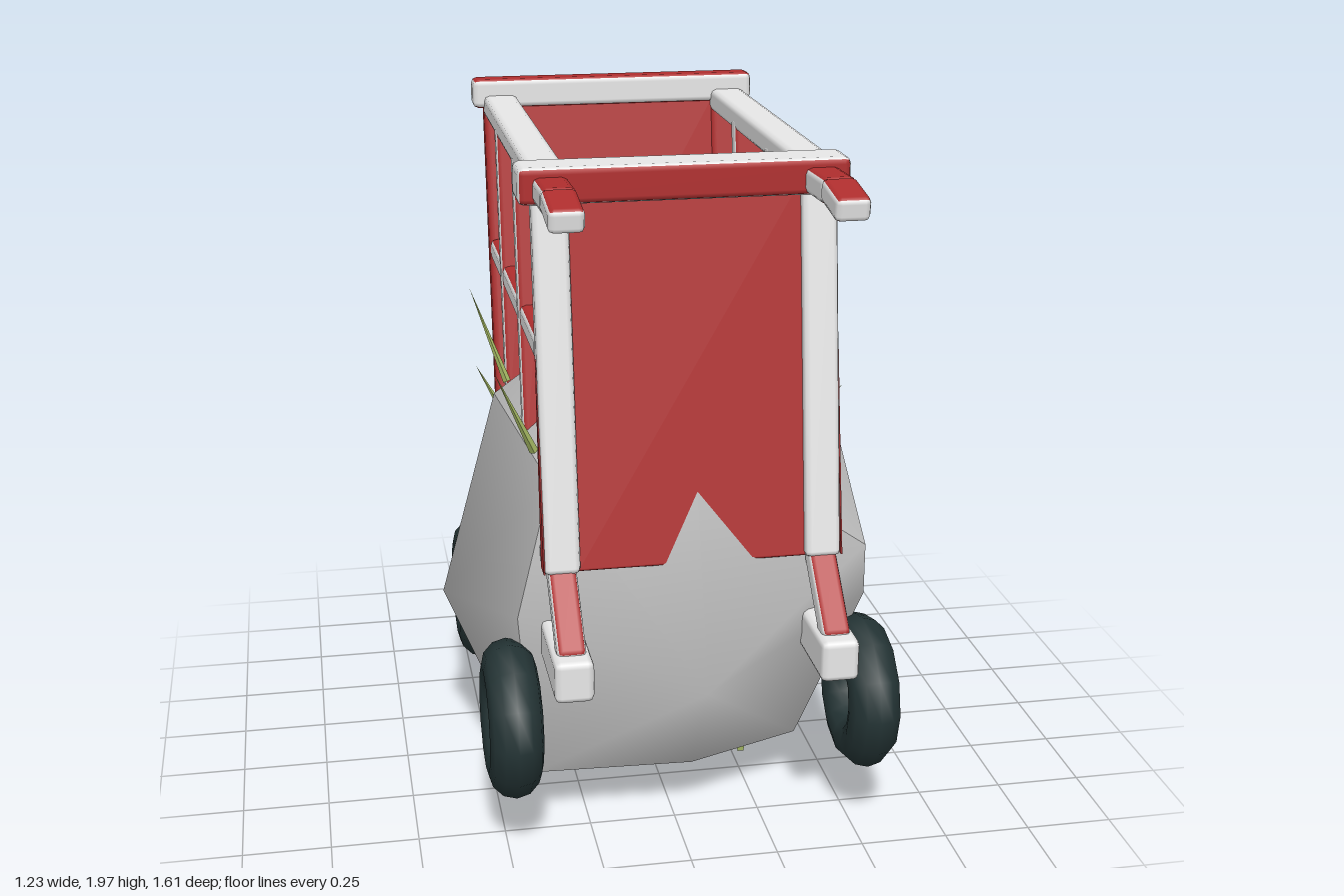
import * as THREE from 'three';
import { RoundedBoxGeometry } from 'three/addons/geometries/RoundedBoxGeometry.js';

function material(name, color) {
  const m = new THREE.MeshStandardMaterial({ color });
  m.name = name;
  return m;
}

// Boulder: a cube of 3 x 3 points per side with some points moved.
// Each side is a smooth fan of its own, so the cube edges stay sharp.
const movedPoints = {
  '0,1,0': [0.05, 1.56, 0], '0,0,1': [0.05, 0.53, 0.72], '-1,0,0': [-0.62, 0.58, 0],
  '1,1,1': [0.55, 0.85, 0.5], '1,1,-1': [0.55, 0.85, -0.5],
  '-1,1,1': [-0.34, 1.06, 0.4], '-1,1,-1': [-0.45, 0.85, -0.5],
  '1,-1,1': [0.39, 0.2, 0.37], '1,-1,-1': [0.51, 0.2, -0.34],
  '-1,-1,1': [-0.41, 0.2, 0.48], '-1,-1,-1': [-0.31, 0.2, -0.31],
};

function boulderSide(axis, sign) {
  let u = (axis + 1) % 3, v = (axis + 2) % 3;
  if (sign < 0) [u, v] = [v, u];
  const ring = [[0, 0], [1, 0], [1, 1], [0, 1], [-1, 1], [-1, 0], [-1, -1], [0, -1], [1, -1]];
  const points = ring.map(([a, b]) => {
    const p = [0, 0, 0];
    p[axis] = sign;
    p[u] = a;
    p[v] = b;
    return new THREE.Vector3(...(movedPoints[p.join()] ?? [0.05 + p[0] / 2, 0.7 + p[1] / 2, p[2] / 2]));
  });
  const index = [];
  for (let i = 0; i < 8; i++) index.push(0, 1 + i, 1 + (i + 1) % 8);
  const geometry = new THREE.BufferGeometry().setFromPoints(points);
  geometry.setIndex(index);
  geometry.computeVertexNormals();
  return geometry;
}

export function createModel() {
  const model = new THREE.Group();
  model.name = 'rockCart';
  const white = material('whitePaint', 0xe8e8e8);
  const red = material('redPaint', 0xb02e2e);
  const stone = material('greyStone', 0xb8b8b8);
  const rubber = material('darkRubber', 0x243435);
  const green = material('grassGreen', 0xa6ba64);

  // Face order: +x, -x, +y, -y, +z, -z
  const trim = [white, white, white, white, red, red];
  const topTrim = [white, white, red, red, white, white];
  const postTrim = [white, white, white, white, white, red];
  const wallTrim = [red, red, white, white, red, red];

  function add(name, geometry, mat, x, y, z, parent = model) {
    const mesh = new THREE.Mesh(geometry, mat);
    mesh.name = name;
    mesh.position.set(x, y, z);
    parent.add(mesh);
    return mesh;
  }

  // Bevelled bar whose long axis runs between two [z, y] points at a given x
  function beam(name, x, width, depth, [z0, y0], [z1, y1], mat, parent = model) {
    const length = Math.hypot(y1 - y0, z1 - z0);
    const radius = Math.min(0.018, depth * 0.25);
    const bar = add(name, new RoundedBoxGeometry(width, length, depth, 1, radius), mat,
      x, (y0 + y1) / 2, (z0 + z1) / 2, parent);
    bar.rotation.x = Math.atan2(z1 - z0, y1 - y0);
  }

  // Boulder
  for (let axis = 0; axis < 3; axis++)
    for (const sign of [-1, 1]) add('boulderSide', boulderSide(axis, sign), stone, 0, 0, 0);

  // Wheels
  const tire = new THREE.TorusGeometry(0.15, 0.075, 12, 12);
  tire.rotateY(Math.PI / 2);
  for (const x of [-0.48, 0.535])
    for (const z of [0.55, -0.365]) add('wheel', tire, rubber, x, 0.42, z);

  // Tapered red inlay for the outer side of the front posts
  const inlay = new THREE.ExtrudeGeometry(new THREE.Shape([
    new THREE.Vector2(0.6, 0.87), new THREE.Vector2(0.488, 1.45), new THREE.Vector2(0.54, 0.87),
  ]), { depth: 0.004, bevelEnabled: false });
  inlay.rotateY(-Math.PI / 2);
  inlay.translate(0.002, 0, 0);

  // Side frames
  for (const x of [-0.333, 0.4]) {
    const side = new THREE.Group();
    side.name = x > 0 ? 'leftSideFrame' : 'rightSideFrame';
    model.add(side);
    beam('topRail', x, 0.105, 0.07, [-0.75, 1.915], [0.4, 1.915], white, side);
    beam('middleRail', x, 0.1, 0.07, [-0.67, 1.467], [0.46, 1.467], trim, side);
    beam('lowerRail', x, 0.09, 0.07, [-0.57, 0.875], [0.55, 0.875], trim, side);
    beam('chassisBeam', x, 0.108, 0.12, [-0.585, 0.64], [0.81, 0.64], white, side);
    beam('frontPost', x, 0.1, 0.065, [0.57, 0.86], [0.41, 1.9], postTrim, side);
    add('postInlay', inlay, red, x + Math.sign(x) * 0.051, 0, 0, side);
    beam('backPost', x, 0.105, 0.07, [-0.585, 0.81], [-0.76, 1.92], red, side);
    beam('frontSlat', x, 0.109, 0.055, [0.17, 1.12], [0.04, 1.915], trim, side);
    beam('backSlat', x, 0.109, 0.055, [-0.27, 1.09], [-0.395, 1.915], trim, side);
    beam('footBrace', x, 0.08, 0.065, [0.745, 0.68], [0.55, 0.87], trim, side);
    beam('handleStem', x, 0.095, 0.07, [0.44, 1.9], [0.63, 1.906], trim, side);
    beam('handleGrip', x, 0.095, 0.065, [0.61, 1.91], [0.77, 1.885], trim, side);
  }

  // End walls and cross bars
  const mid = 0.034;
  beam('frontWall', mid, 0.65, 0.03, [0.56, 0.86], [0.405, 1.9], red);
  beam('backWall', mid, 0.65, 0.04, [-0.585, 0.825], [-0.755, 1.92], wallTrim);
  add('frontHeader', new RoundedBoxGeometry(0.9, 0.1, 0.135, 1, 0.018), trim, 0.03, 1.91, 0.4);
  add('backHeader', new RoundedBoxGeometry(0.9, 0.09, 0.085, 1, 0.018), topTrim, 0.03, 1.955, -0.762);
  add('backCrossBar', new RoundedBoxGeometry(0.7, 0.07, 0.08, 1, 0.012), topTrim, mid, 0.875, -0.535);

  // Grass blades, pointed from base to tip
  const up = new THREE.Vector3(0, 1, 0);
  function blade(base, tip, width, tipWidth = 0) {
    const a = new THREE.Vector3(...base), b = new THREE.Vector3(...tip);
    const dir = b.clone().sub(a);
    const geometry = new THREE.CylinderGeometry(tipWidth, width, dir.length(), 4).toNonIndexed();
    geometry.computeVertexNormals();
    const c = a.add(b).multiplyScalar(0.5);
    add('grassBlade', geometry, green, c.x, c.y, c.z)
      .quaternion.setFromUnitVectors(up, dir.normalize());
  }
  [
    [[0.05, 1.26, -0.4], [0.04, 1.45, -0.46], 0.015],
    [[0.24, 1.2, -0.2], [0.34, 1.42, -0.27], 0.016],
    [[-0.09, 1.32, -0.21], [-0.09, 1.43, -0.22], 0.008],
    [[-0.39, 1.17, -0.2], [-0.49, 1.45, -0.26], 0.012],
    [[-0.4, 1.08, -0.11], [-0.49, 1.25, -0.12], 0.012],
    [[0.53, 1.06, -0.06], [0.6, 1.25, -0.08], 0.013],
    [[0.52, 1.13, 0.11], [0.58, 1.2, 0.1], 0.012],
    [[0.18, 1.42, 0.05], [0.19, 1.63, 0.03], 0.012],
    [[0.25, 1.3, 0.18], [0.24, 1.71, 0.2], 0.013],
    [[-0.2, 1.25, 0.2], [-0.28, 1.45, 0.21], 0.015],
    [[-0.08, 1.3, 0.28], [-0.11, 1.52, 0.3], 0.012],
    [[-0.38, 1.15, 0.38], [-0.49, 1.4, 0.44], 0.013],
  ].forEach((b) => blade(...b));

  // Grass roots hanging below the boulder: one dense tuft and scattered stubs
  let seed = 7;
  const rand = () => (seed = (seed * 16807) % 2147483647) / 2147483647;
  for (let i = 0; i < 32; i++) {
    const dense = i < 14;
    const x = dense ? -0.14 + (rand() - 0.5) * 0.24 : -0.25 + rand() * 0.56;
    const z = dense ? -0.1 + (rand() - 0.5) * 0.2 : -0.26 + rand() * 0.58;
    const drop = dense ? 0.08 + rand() * 0.11 : 0.03 + rand() * 0.05;
    blade([x, 0.23, z], [x + (rand() - 0.5) * 0.03, 0.2 - drop, z + (rand() - 0.5) * 0.03], 0.028, 0.013);
  }
  return model;
}
